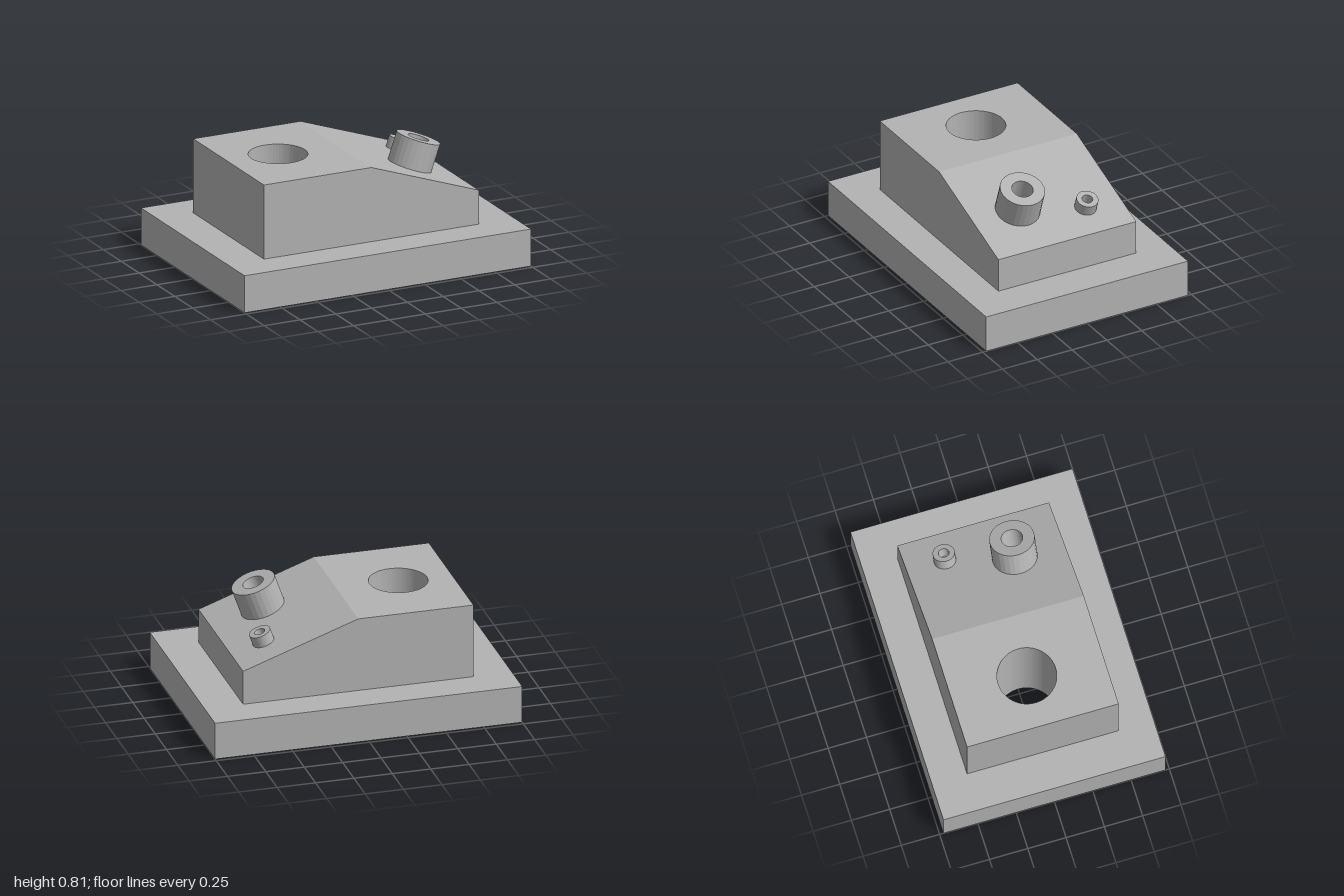
import * as THREE from 'three';

const BASE_TOP = 0.245, BODY_TOP = 0.735, SLOPE_END = 0.47;
const HALF_LENGTH = 0.75, HALF_WIDTH = 0.495;
const TILT = Math.atan2(BODY_TOP - SLOPE_END, HALF_LENGTH);

const grey = new THREE.MeshStandardMaterial({ color: 0xb3b3b3, flatShading: true });
grey.name = 'grey';

// Rectangle in plan, optionally pierced by the round bore
function plate(x0, x1, halfWidth, bore) {
  const shape = new THREE.Shape([
    new THREE.Vector2(x0, -halfWidth), new THREE.Vector2(x1, -halfWidth),
    new THREE.Vector2(x1, halfWidth), new THREE.Vector2(x0, halfWidth),
  ]);
  shape.holes.push(bore);
  return shape;
}

function circle(PathType, x, radius) {
  const path = new PathType();
  path.absarc(x, 0, radius, 0, Math.PI * 2, false);
  return path;
}

// Extrude a plan shape upwards from height y
function raise(shape, y, height, segments) {
  const geometry = new THREE.ExtrudeGeometry(shape, {
    depth: height, bevelEnabled: false, curveSegments: segments,
  });
  return geometry.rotateX(-Math.PI / 2).translate(0, y, 0);
}

function part(name, geometry) {
  const mesh = new THREE.Mesh(geometry, grey);
  mesh.name = name;
  return mesh;
}

// Hollow boss standing square on the sloping face
function boss(name, x, z, radius, boreRadius, height, sides) {
  const ring = circle(THREE.Shape, 0, radius);
  ring.holes.push(circle(THREE.Path, 0, boreRadius));
  const mesh = part(name, raise(ring, -0.01, height + 0.01, sides));
  mesh.position.set(x, BODY_TOP - x * Math.tan(TILT), z);
  mesh.rotation.z = -TILT;
  return mesh;
}

export function createModel() {
  const model = new THREE.Group();
  model.name = 'machinedBlock';
  const bore = circle(THREE.Path, -0.405, 0.187);

  // Base plate and level half of the body, sharing one bore
  model.add(part('basePlate', raise(plate(-1, 1, 0.725, bore), 0, BASE_TOP, 32)));
  model.add(part('levelBody',
    raise(plate(-HALF_LENGTH, 0, HALF_WIDTH, bore), BASE_TOP, BODY_TOP - BASE_TOP, 32)));

  // Sloping half of the body
  const wedge = new THREE.Shape([
    new THREE.Vector2(0, BASE_TOP), new THREE.Vector2(HALF_LENGTH, BASE_TOP),
    new THREE.Vector2(HALF_LENGTH, SLOPE_END), new THREE.Vector2(0, BODY_TOP),
  ]);
  const wedgeGeometry = new THREE.ExtrudeGeometry(wedge, { depth: HALF_WIDTH * 2, bevelEnabled: false });
  model.add(part('slopingBody', wedgeGeometry.translate(0, 0, -HALF_WIDTH)));

  // Bosses on the slope
  model.add(boss('largeBoss', 0.427, 0.174, 0.143, 0.068, 0.187, 14));
  model.add(boss('smallBoss', 0.545, -0.247, 0.07, 0.034, 0.075, 14));
  return model;
}
